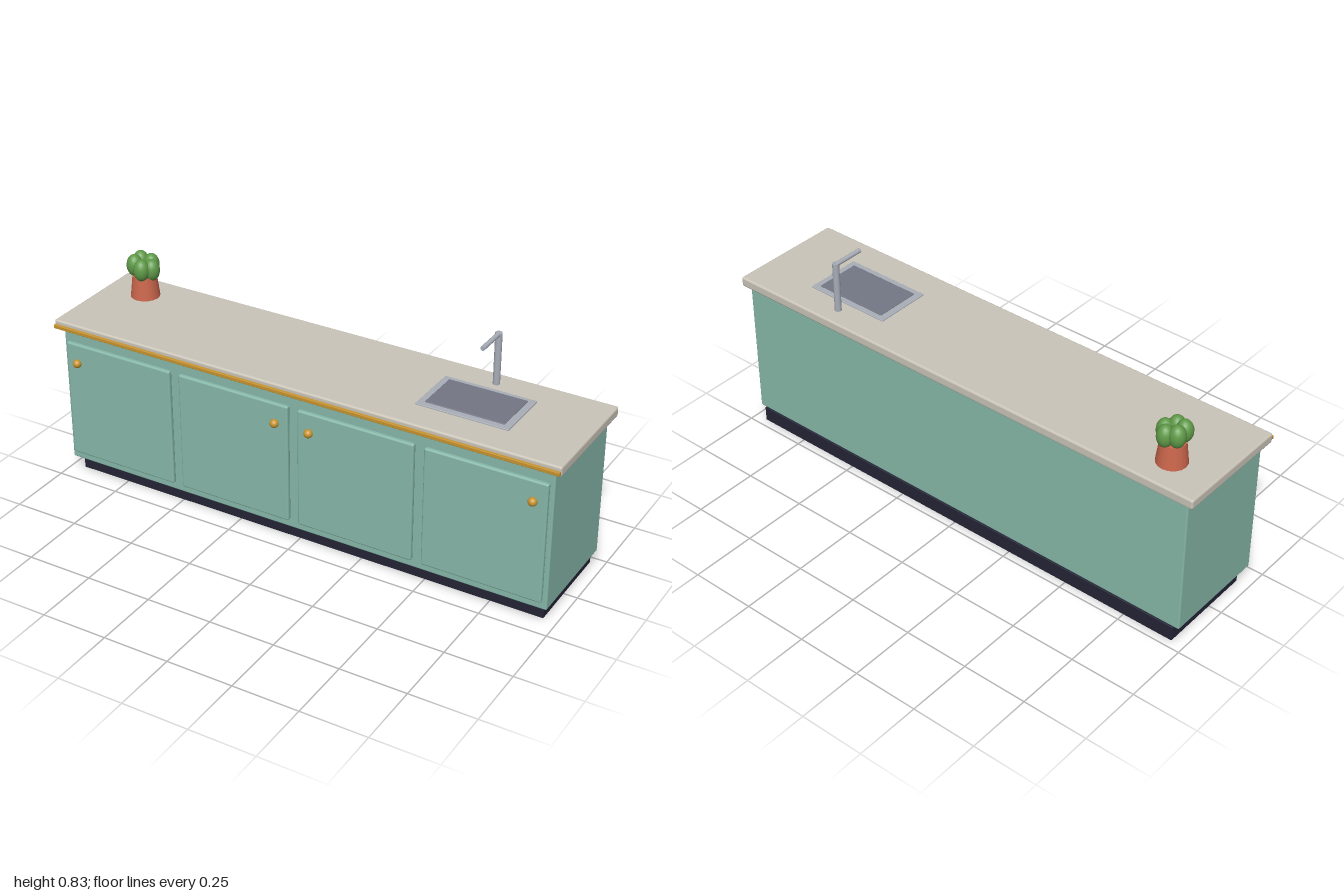
import * as THREE from 'three';
import { RoundedBoxGeometry } from 'three/addons/geometries/RoundedBoxGeometry.js';

const mat = (name, color) => {
  const m = new THREE.MeshStandardMaterial({ color });
  m.name = name;
  return m;
};

export function createModel() {
  const group = new THREE.Group();
  group.name = 'kitchenCounter';

  const sage = mat('sage green', 0x86b7a8);
  const navy = mat('dark navy', 0x232336);
  const stone = mat('pale stone', 0xcac4b8);
  const brass = mat('brass', 0xc8942f);
  const steel = mat('steel', 0xa8adb7);
  const basinGrey = mat('basin grey', 0x737784);
  const clay = mat('terracotta', 0xcb664c);
  const leafGreen = mat('leaf green', 0x5f9a48);

  const add = (name, geometry, material, x = 0, y = 0, z = 0, parent = group) => {
    const mesh = new THREE.Mesh(geometry, material);
    mesh.name = name;
    mesh.position.set(x, y, z);
    parent.add(mesh);
    return mesh;
  };

  // Box given by its min and max corners, with softened edges
  const block = (name, material, [x0, y0, z0], [x1, y1, z1], r) =>
    add(name, new RoundedBoxGeometry(x1 - x0, y1 - y0, z1 - z0, 2, r), material,
      (x0 + x1) / 2, (y0 + y1) / 2, (z0 + z1) / 2);

  // Cabinet carcass, recessed base and worktop
  block('plinth', navy, [-0.95, 0, -0.22], [0.95, 0.06, 0.167], 0.003);
  block('cabinetBody', sage, [-0.973, 0.06, -0.217], [0.973, 0.598, 0.2], 0.006);
  block('countertop', stone, [-1, 0.598, -0.235], [1, 0.636, 0.22], 0.008);
  block('brassTrim', brass, [-0.997, 0.606, 0.212], [0.997, 0.62, 0.23], 0.002);

  // Four doors, knobs on alternating sides
  [-0.732, -0.244, 0.244, 0.732].forEach((x, i) => {
    block('door', sage, [x - 0.225, 0.093, 0.196], [x + 0.225, 0.555, 0.216], 0.007);
    const side = i % 2 ? 1 : -1;
    add('knob', new THREE.SphereGeometry(0.016, 20, 14), brass, x + side * 0.176, 0.481, 0.222);
  });

  // Sink: raised steel rim with a dark basin panel
  block('sinkRim', steel, [0.41, 0.632, -0.12], [0.755, 0.641, 0.1], 0.003);
  block('sinkBasin', basinGrey, [0.435, 0.638, -0.1], [0.73, 0.644, 0.077], 0.002);

  // Tap
  add('tapPost', new THREE.CylinderGeometry(0.0125, 0.0125, 0.2, 16), steel, 0.581, 0.732, -0.165);
  const spout = add('tapSpout', new THREE.CylinderGeometry(0.0085, 0.0085, 0.127, 16), steel,
    0.581, 0.8265, -0.1065);
  spout.rotation.x = Math.PI / 2;

  // Potted plant: pot narrowing upward, ring of plump leaves
  const plant = new THREE.Group();
  plant.name = 'pottedPlant';
  plant.position.set(-0.831, 0.636, -0.11);
  group.add(plant);
  add('pot', new THREE.CylinderGeometry(0.045, 0.055, 0.084, 16), clay, 0, 0.042, 0, plant);
  const leafShape = new THREE.SphereGeometry(0.03, 18, 14).scale(1, 1.4, 1);
  [0.111, 0.116, 0.124, 0.124, 0.116].forEach((y, i) => {
    const a = (i * Math.PI * 2) / 5;
    add('leaf', leafShape, leafGreen, 0.034 * Math.cos(a), y, 0.034 * Math.sin(a), plant);
  });

  return group;
}
